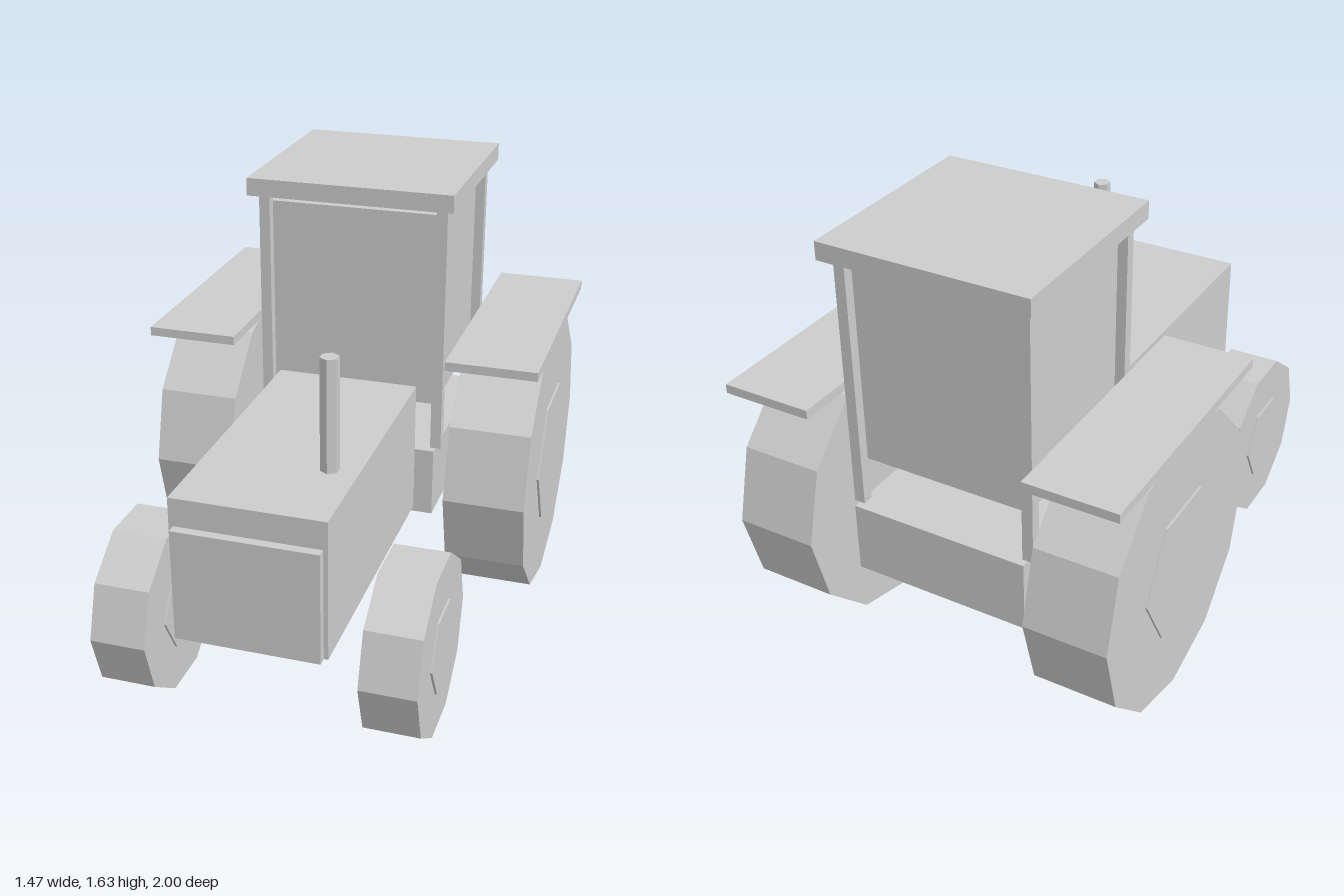
import * as THREE from 'three';

const paint = new THREE.MeshStandardMaterial({ color: 0xcccccc });
paint.name = 'plainGrey';
paint.flatShading = true;

export function createModel() {
  const model = new THREE.Group();
  model.name = 'tractor';

  const add = (name, geometry, x, y, z, parent = model) => {
    const mesh = new THREE.Mesh(geometry, paint);
    mesh.name = name;
    mesh.position.set(x, y, z);
    parent.add(mesh);
    return mesh;
  };
  // Box given by its lower and upper limits on each axis
  const box = (name, [x0, x1], [y0, y1], [z0, z1]) =>
    add(name, new THREE.BoxGeometry(x1 - x0, y1 - y0, z1 - z0),
      (x0 + x1) / 2, (y0 + y1) / 2, (z0 + z1) / 2);

  // Faceted tyre with a six-sided hub standing slightly proud on both faces
  const wheel = (name, x, z, radius, width, sides) => {
    const group = new THREE.Group();
    group.name = name;
    group.position.set(x, radius, z);
    const disc = (r, w, n) => new THREE.CylinderGeometry(r, r, w, n).rotateZ(Math.PI / 2);
    add('tyre', disc(radius, width, sides), 0, 0, 0, group);
    add('hub', disc(radius / 2, width + 0.016, 6), 0, 0, 0, group);
    model.add(group);
  };

  // Body
  box('hood', [-0.265, 0.265], [0.4, 0.9], [-0.1, 0.967]);
  box('grille', [-0.25, 0.25], [0.4, 0.8], [0.967, 1.0]);
  box('chassis', [-0.333, 0.333], [0.37, 0.635], [-0.115, -0.848].reverse());
  add('exhaust', new THREE.CylinderGeometry(0.033, 0.033, 0.4, 6), 0.165, 1.1, 0.633);

  // Cab
  box('cabin', [-0.316, 0.316], [0.8, 1.535], [-0.782, -0.182]);
  box('roof', [-0.383, 0.383], [1.57, 1.635], [-0.865, -0.1]);

  for (const side of [-1, 1]) {
    const label = side > 0 ? 'left' : 'right';
    for (const [end, z] of [['Front', -0.165], ['Rear', -0.8]]) {
      add(`${label}${end}Post`, new THREE.BoxGeometry(0.04, 0.935, 0.04), side * 0.333, 1.1025, z);
    }
    add(`${label}Fender`, new THREE.BoxGeometry(0.333, 0.033, 1.0), side * 0.566, 1.052, -0.467);
    wheel(`${label}RearWheel`, side * 0.566, -0.467, 0.533, 0.3, 12);
    wheel(`${label}FrontWheel`, side * 0.467, 0.67, 0.32, 0.197, 10);
  }
  return model;
}
